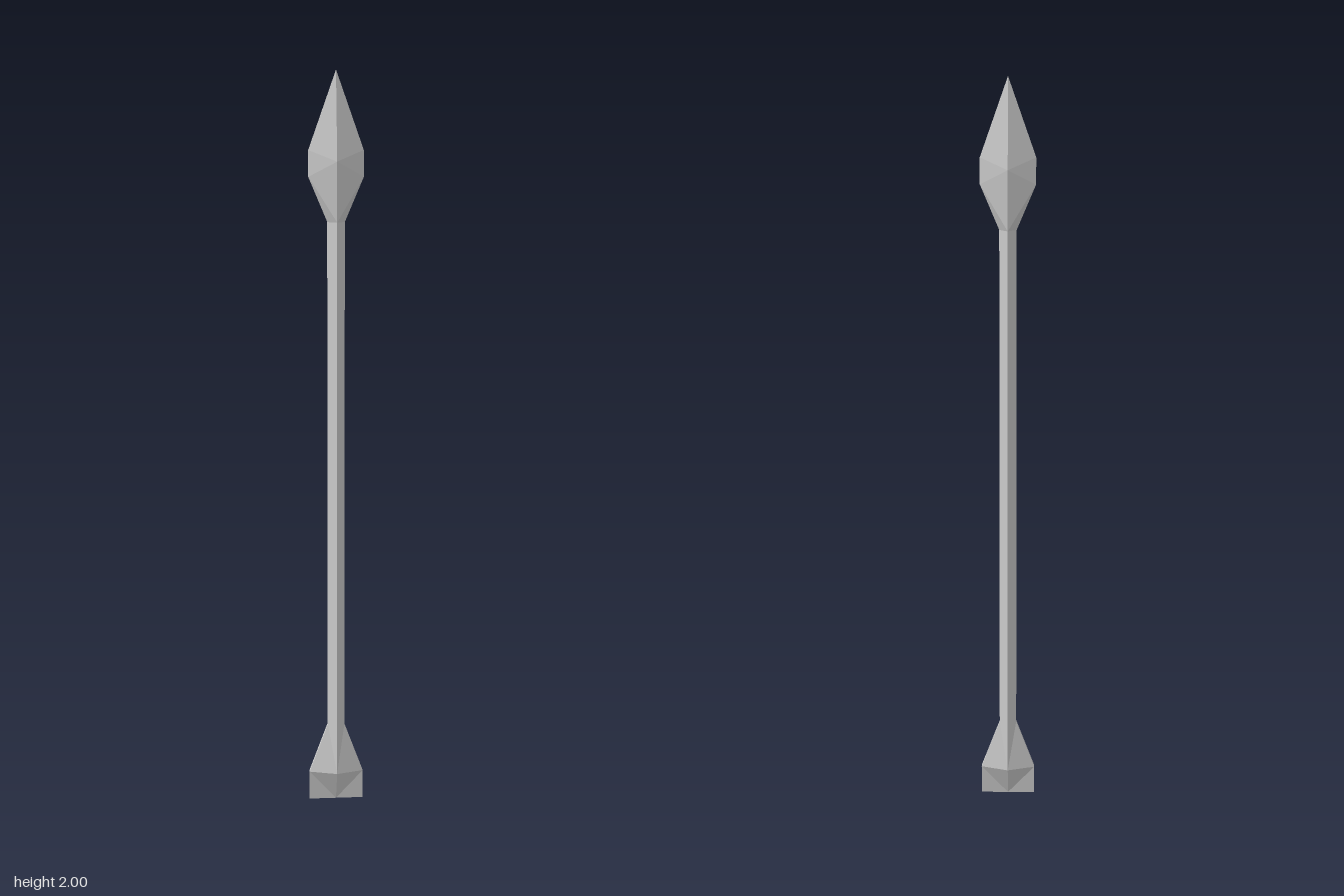
import * as THREE from 'three';

// Six-sided section: a ridge front and back, a narrow edge face on each side.
// Each section is { ridge: [y, z], side: [x, y, z] }.
function ring({ ridge: [ry, rz], side: [x, y, z] }) {
  return [[0, ry, rz], [x, y, z], [x, y, -z], [0, ry, -rz], [-x, y, -z], [-x, y, z]];
}

// Skins consecutive sections from bottom to top, with mirrored diagonals.
function loft(name, sections, material) {
  const rings = sections.map(ring);
  const pos = [];
  const tri = (a, b, c) => {
    const [p, q, r] = [a, b, c].map((v) => new THREE.Vector3(...v));
    if (q.sub(p).cross(r.sub(p)).length() > 1e-8) pos.push(...a, ...b, ...c);
  };
  for (let k = 0; k < rings.length - 1; k++) {
    const a = rings[k], b = rings[k + 1];
    for (let i = 0; i < 6; i++) {
      const j = (i + 1) % 6;
      if (i % 3 === 2) {
        tri(a[i], a[j], b[i]);
        tri(a[j], b[j], b[i]);
      } else {
        tri(a[i], a[j], b[j]);
        tri(a[i], b[j], b[i]);
      }
    }
  }
  const geometry = new THREE.BufferGeometry();
  geometry.setAttribute('position', new THREE.Float32BufferAttribute(pos, 3));
  geometry.computeVertexNormals();
  const mesh = new THREE.Mesh(geometry, material);
  mesh.name = name;
  return mesh;
}

export function createModel() {
  const group = new THREE.Group();
  group.name = 'boltProjectile';
  const material = new THREE.MeshStandardMaterial({ color: 0xcccccc, flatShading: true });

  const R = 0.034; // ridge depth, constant along the bolt
  const W = 0.074; // half width of head and tail
  const S = 0.023; // half width of shaft
  const E = 0.006; // half thickness of the side edges
  const shaftBottom = { ridge: [0.215, R], side: [S, 0.215, E] };
  const shaftTop = { ridge: [1.6, R], side: [S, 1.6, E] };

  // Wedge-shaped tail, ending in a straight edge
  group.add(loft('tail', [
    { ridge: [0, 0], side: [W, 0, 0] },
    { ridge: [0.08, R], side: [W, 0.08, E] },
    shaftBottom,
  ], material));

  // Long straight shaft
  group.add(loft('shaft', [shaftBottom, shaftTop], material));

  // Spear head with short upright sides and a point
  group.add(loft('head', [
    shaftTop,
    { ridge: [1.76, R], side: [W, 1.72, E] },
    { ridge: [1.76, R], side: [W, 1.79, 0.001] },
    { ridge: [2, 0], side: [0, 2, 0] },
  ], material));

  return group;
}
